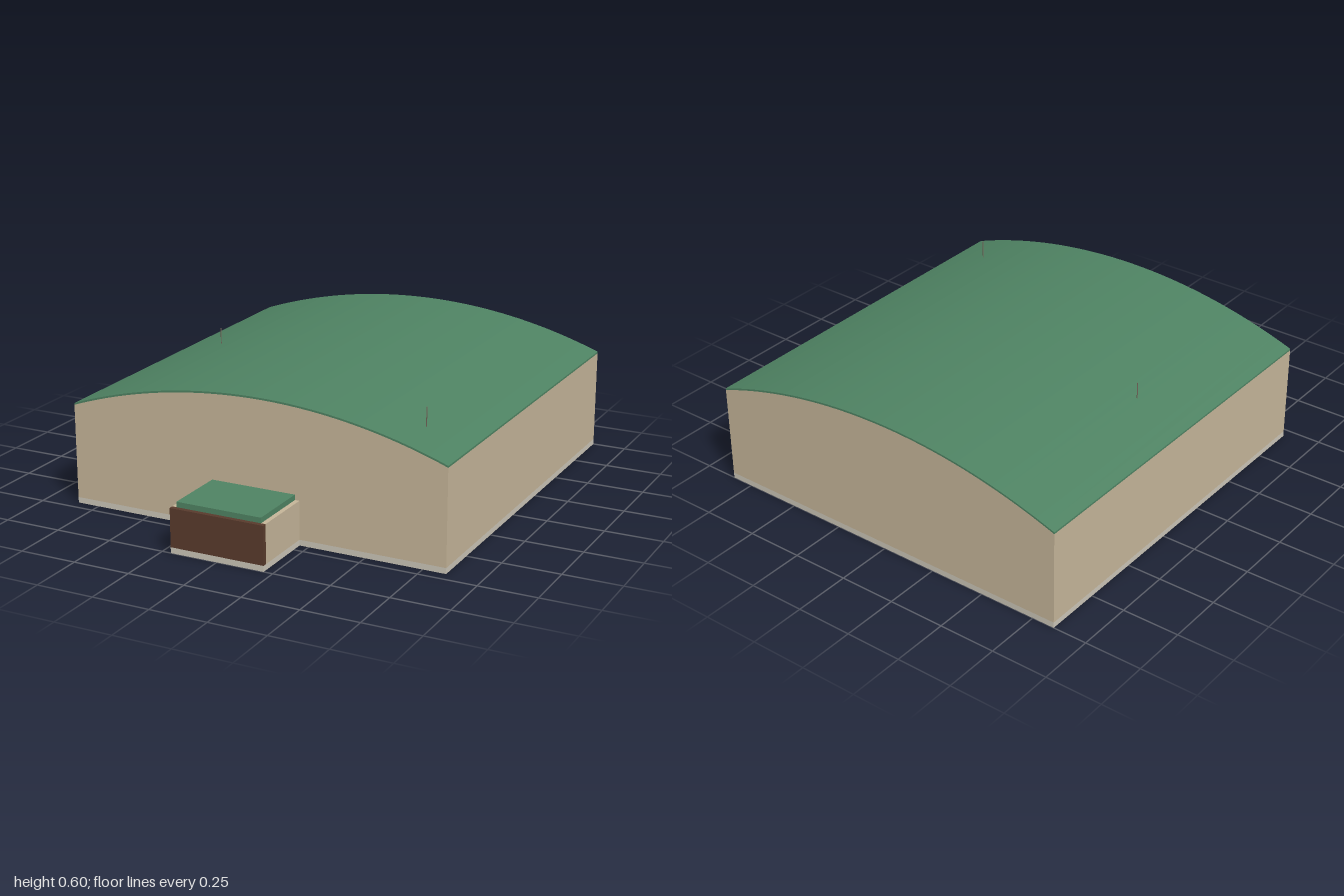
import * as THREE from 'three';

const mat = (name, color) => {
  const m = new THREE.MeshStandardMaterial({ color });
  m.name = name;
  return m;
};

export function createModel() {
  const wall = mat('tan wall', 0xc4b498);
  const green = mat('green roof', 0x4e8262);
  const brown = mat('brown door', 0x583a2c);
  const stone = mat('pale foundation', 0xcac4b6);
  const metal = mat('grey-brown mast', 0x74665a);

  const model = new THREE.Group();
  model.name = 'archedHall';

  const add = (name, geometry, material, x = 0, y = 0, z = 0) => {
    const mesh = new THREE.Mesh(geometry, material);
    mesh.name = name;
    mesh.position.set(x, y, z);
    model.add(mesh);
    return mesh;
  };
  // Box given by its lower and upper limits
  const box = (name, material, [x0, x1], [y0, y1], [z0, z1]) =>
    add(name, new THREE.BoxGeometry(x1 - x0, y1 - y0, z1 - z0), material,
      (x0 + x1) / 2, (y0 + y1) / 2, (z0 + z1) / 2);

  // Shallow circular arch spanning the hall
  const W = 0.85, BACK = -1, FRONT = 0.7, BASE = 0.025;
  const TOP = 0.597, EAVE = 0.445, RISE = TOP - EAVE;
  const R = (W * W + RISE * RISE) / (2 * RISE);
  const archY = x => TOP - R + Math.sqrt(R * R - x * x);
  const N = 40;
  const arch = drop => Array.from({ length: N + 1 }, (_, i) => {
    const x = -W + (2 * W * i) / N;
    return new THREE.Vector2(x, archY(x) - drop);
  });
  const extrude = points => new THREE.ExtrudeGeometry(new THREE.Shape(points),
    { depth: FRONT - BACK, bevelEnabled: false });

  // Main hall and its thin roof shell
  const T = 0.008;
  add('hallWalls', extrude([new THREE.Vector2(W, BASE), new THREE.Vector2(-W, BASE), ...arch(T)]),
    wall, 0, 0, BACK);
  add('hallRoof', extrude([...arch(T), ...arch(0).reverse()]), green, 0, 0, BACK);

  // Foundation under hall and porch
  box('hallFoundation', stone, [-W, W], [0, BASE], [BACK, FRONT]);
  box('porchFoundation', stone, [-0.21, 0.21], [0, BASE], [FRONT, 1]);

  // Entrance porch
  box('porchWalls', wall, [-0.21, 0.21], [BASE, 0.192], [FRONT, 0.98]);
  box('porchDoor', brown, [-0.21, 0.21], [BASE, 0.192], [0.98, 1]);
  box('porchRoof', green, [-0.19, 0.19], [0.192, 0.215], [FRONT, 0.98]);

  // Slim roof masts
  for (const [x, z] of [[-0.62, -0.13], [0.66, 0.48]]) {
    const y0 = archY(x) - T, y1 = 0.588;
    add('roofMast', new THREE.CylinderGeometry(0.002, 0.002, y1 - y0, 6), metal, x, (y0 + y1) / 2, z);
  }

  return model;
}
